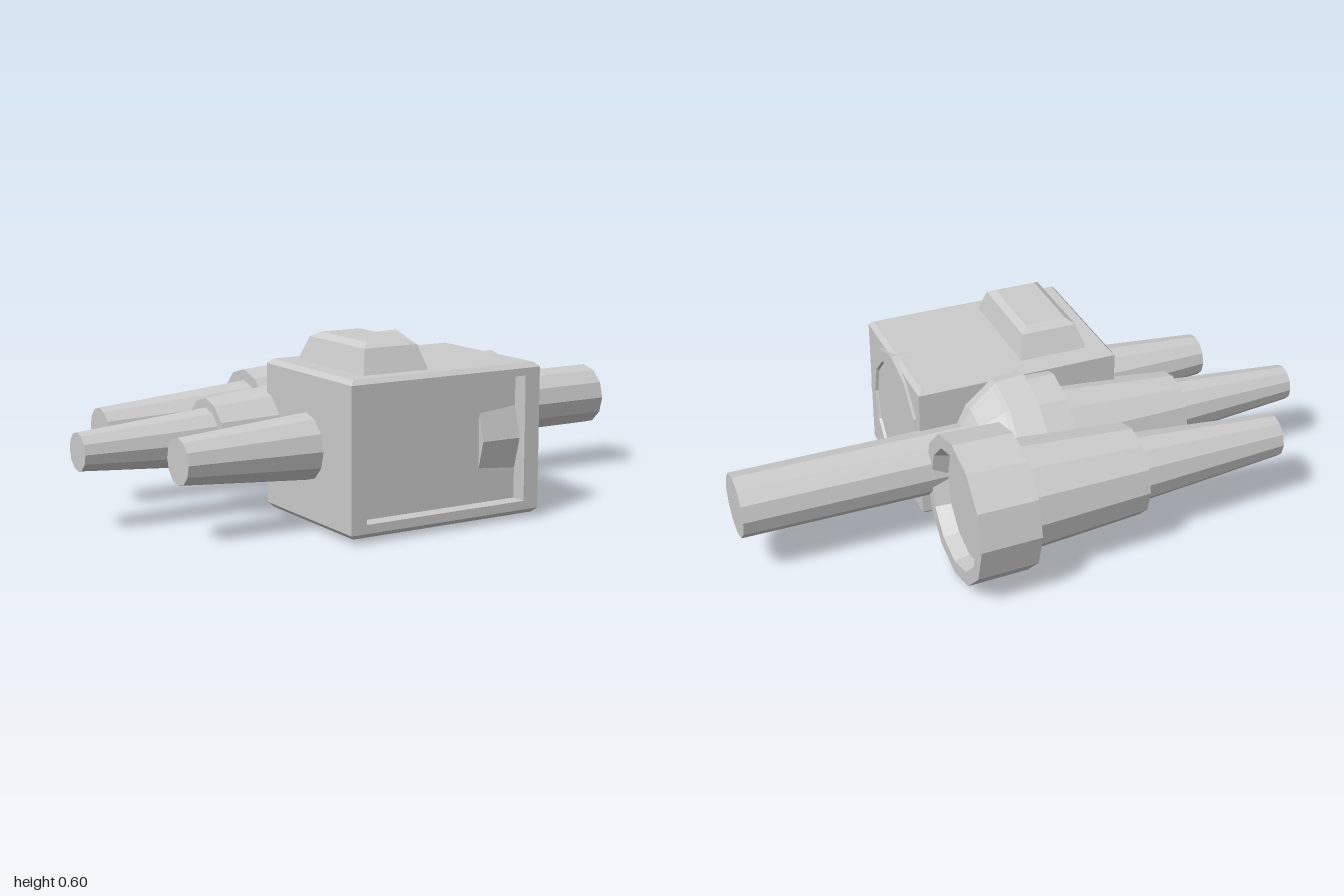
import * as THREE from 'three';

const AXIS_Y = 0.265;
const material = new THREE.MeshStandardMaterial({ color: 0xcccccc, flatShading: true });

function addMesh(parent, name, geometry) {
  const mesh = new THREE.Mesh(geometry, material);
  mesh.name = name;
  parent.add(mesh);
  return mesh;
}

// Twelve-sided solid turned about an axis parallel to x; profile is [x, radius] pairs
function turned(parent, name, z, profile) {
  const points = profile.map(([x, r]) => new THREE.Vector2(r, x));
  const geometry = new THREE.LatheGeometry(points, 12);
  geometry.rotateZ(-Math.PI / 2);
  addMesh(parent, name, geometry).position.set(0, AXIS_Y, z);
}

// Stack of rectangles, bottom to top: [y, x0, x1, z0, z1]
function stacked(parent, name, levels) {
  const geometry = new THREE.BoxGeometry(1, levels.length - 1, 1, 1, levels.length - 1, 1);
  const pos = geometry.attributes.position;
  for (let i = 0; i < pos.count; i++) {
    const [y, x0, x1, z0, z1] = levels[Math.round(pos.getY(i) + (levels.length - 1) / 2)];
    pos.setXYZ(i, pos.getX(i) < 0 ? x0 : x1, y, pos.getZ(i) < 0 ? z0 : z1);
  }
  geometry.computeVertexNormals();
  addMesh(parent, name, geometry);
}

// Flared hood with a sunken lens in its end
const hood = [[0.155, 0], [0.155, 0.244], [0.362, 0.249], [0.362, 0.203], [0.31, 0.19], [0.31, 0]];

export function createModel() {
  const model = new THREE.Group();
  model.name = 'opticalCluster';

  // Box housing: chamfered slabs above and below a notched middle
  const housing = new THREE.Group();
  housing.name = 'housing';
  model.add(housing);
  const [x0, x1, z0, z1, c] = [-0.355, 0.352, 0.03, 0.554, 0.015];
  const full = [x0, x1, z0, z1];
  const inset = [x0 + c, x1 - c, z0 + c, z1 - c];
  stacked(housing, 'housingBase', [[0.018, ...inset], [0.033, ...full], [0.062, ...full]]);
  stacked(housing, 'housingTop', [[0.472, ...full], [0.496, ...full], [0.511, ...inset]]);

  // Plan of the middle with the front recess, drawn as (x, -z)
  const plan = new THREE.Shape([
    [x0, -z1], [-0.3, -z1], [-0.3, -0.5], [0.296, -0.5], [0.296, -z1],
    [x1, -z1], [x1, -z0], [x0, -z0],
  ].map(([x, y]) => new THREE.Vector2(x, y)));
  const middle = new THREE.ExtrudeGeometry(plan, { depth: 0.41, bevelEnabled: false });
  middle.rotateX(-Math.PI / 2);
  addMesh(housing, 'recessedMiddle', middle).position.y = 0.062;

  // Raised block on the housing
  stacked(housing, 'topBlock', [
    [0.505, -0.275, -0.036, 0.088, 0.495],
    [0.588, -0.25, -0.057, 0.128, 0.458],
    [0.604, -0.225, -0.08, 0.158, 0.43],
  ]);

  // Front scope, passing through the housing
  turned(model, 'frontHood', 0.28, hood);
  turned(model, 'frontBarrel', 0.28, [[-0.8, 0], [-0.8, 0.074], [-0.3, 0.113], [-0.3, 0]]);

  // Middle scope: stepped barrel, collar, domed end and long rod
  const midZ = -0.014;
  turned(model, 'middleThinBarrel', midZ, [[-1, 0], [-1, 0.062], [-0.555, 0.097], [-0.555, 0]]);
  turned(model, 'middleWideBarrel', midZ, [[-0.557, 0], [-0.557, 0.127], [-0.11, 0.17], [-0.11, 0]]);
  turned(model, 'middleCollar', midZ, [
    [-0.11, 0], [-0.11, 0.236], [0, 0.24], [0, 0.262], [0.1, 0.252],
    [0.115, 0.237], [0.19, 0.172], [0.225, 0.1], [0.225, 0],
  ]);
  turned(model, 'rod', midZ, [[0.1, 0], [0.1, 0.108], [1, 0.108], [1, 0]]);

  // Rear scope: hood on a two-step barrel
  const rearZ = -0.306;
  turned(model, 'rearHood', rearZ, hood);
  turned(model, 'rearWideBarrel', rearZ, [[-0.262, 0], [-0.262, 0.156], [0.16, 0.187], [0.16, 0]]);
  turned(model, 'rearThinBarrel', rearZ, [[-0.8, 0], [-0.8, 0.074], [-0.26, 0.118], [-0.26, 0]]);

  return model;
}
